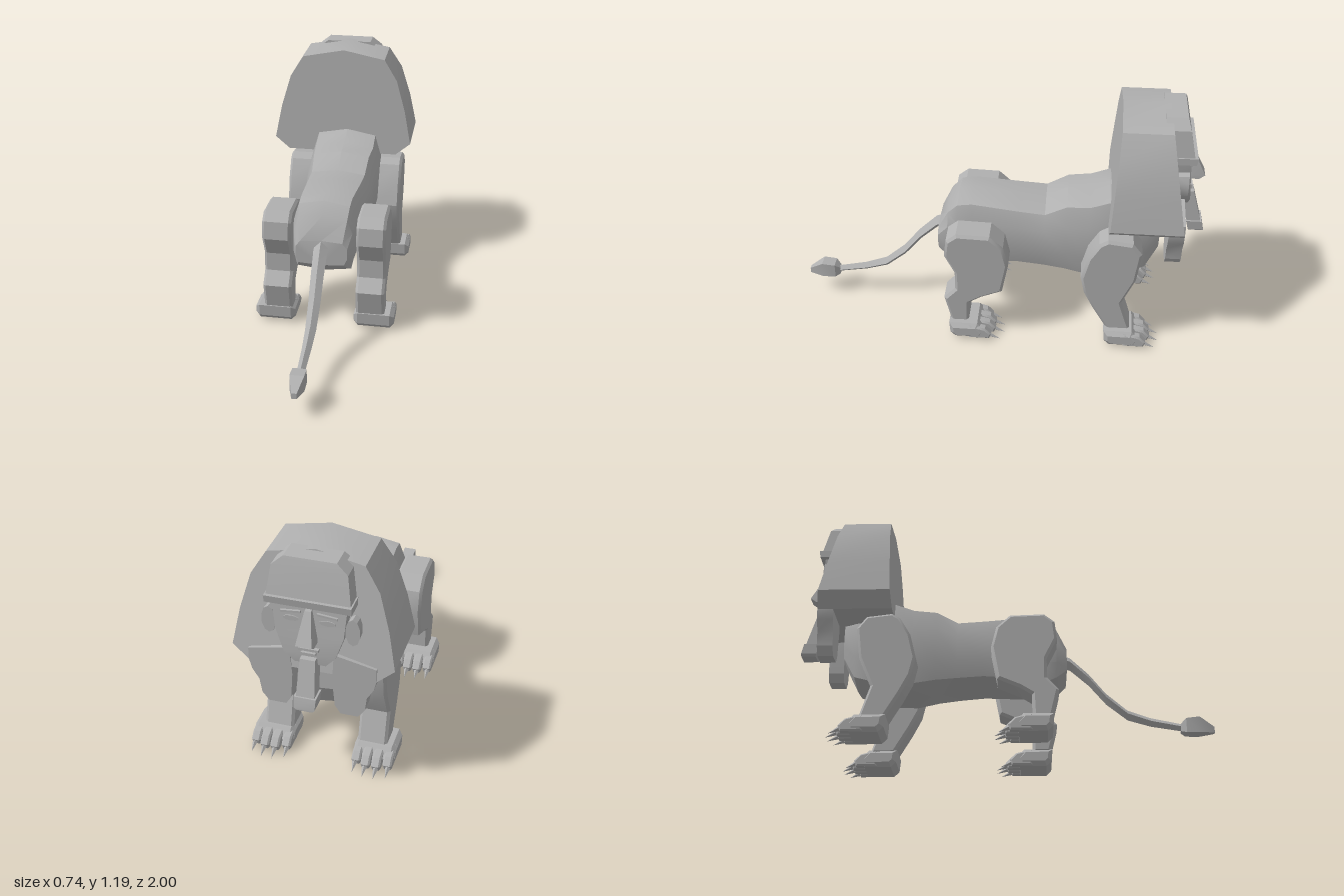
import * as THREE from 'three';
import { toCreasedNormals } from 'three/addons/utils/BufferGeometryUtils.js';

const stone = new THREE.MeshStandardMaterial({ color: 0xb0b0b0 });
stone.name = 'grey stone';

function add(parent, name, geo, x = 0, y = 0, z = 0) {
  const mesh = new THREE.Mesh(toCreasedNormals(geo, 0.45), stone);
  mesh.name = name;
  mesh.position.set(x, y, z);
  parent.add(mesh);
  return mesh;
}

// Skin over convex rings of [x, y, z], counter-clockwise about the direction of travel
function loft(rings) {
  const pos = [], n = rings[0].length, last = rings.length - 1;
  const tri = (...p) => p.forEach((v) => pos.push(...v));
  for (let k = 0; k < last; k++) {
    for (let j = 0; j < n; j++) {
      const i = (j + 1) % n, a = rings[k], b = rings[k + 1];
      tri(a[j], a[i], b[i]);
      tri(a[j], b[i], b[j]);
    }
  }
  for (let j = 1; j < n - 1; j++) {
    tri(rings[0][0], rings[0][j + 1], rings[0][j]);
    tri(rings[last][0], rings[last][j], rings[last][j + 1]);
  }
  const g = new THREE.BufferGeometry();
  g.setAttribute('position', new THREE.Float32BufferAttribute(pos, 3));
  g.computeVertexNormals();
  return g;
}

const shapeOf = (pts) => new THREE.Shape(pts.map((p) => new THREE.Vector2(...p)));

// Side profile of [forward, height], given a width and chamfered edges
function sideSlab(pts, width, bevel) {
  const g = new THREE.ExtrudeGeometry(shapeOf(pts), {
    depth: width - 2 * bevel, bevelEnabled: true, bevelSegments: 1,
    bevelSize: bevel, bevelThickness: bevel, bevelOffset: -bevel,
  });
  g.translate(0, 0, bevel - width / 2);
  return g.rotateY(Math.PI / 2);
}

// Upright block with rows of [y, halfWidth, backZ, frontZ], bottom first
const block = (rows) => loft(rows.map(([y, w, zb, zf]) =>
  [[w, y, zb], [w, y, zf], [-w, y, zf], [-w, y, zb]]));

function makeFoot() {
  const foot = new THREE.Group();
  add(foot, 'pad', sideSlab([[0, 0.095], [0.005, 0.035], [0.03, 0.01], [0.16, 0.01], [0.18, 0.05], [0.14, 0.095]], 0.2, 0.02));
  for (let i = 0; i < 4; i++) {
    const x = (i - 1.5) * 0.05, reach = Math.abs(i - 1.5) > 1 ? -0.02 : 0;
    add(foot, 'toe', sideSlab([[0.12, 0.012], [0.22, 0.012], [0.23, 0.04], [0.2, 0.072], [0.17, 0.08], [0.12, 0.088]], 0.044, 0.008), x, 0, -reach);
    const claw = new THREE.ConeGeometry(0.017, 0.075, 4);
    claw.rotateX(-Math.PI / 2 - 0.42);
    add(foot, 'claw', claw, x * 1.06, 0.02, -0.24 - reach);
  }
  return foot;
}

function makeBody() {
  const body = new THREE.Group();
  body.name = 'body';
  // Torso sections from chest to rump: z, top, bottom, half width
  const sections = [
    [-0.78, 0.68, 0.46, 0.13], [-0.72, 0.74, 0.34, 0.155], [-0.64, 0.76, 0.31, 0.175],
    [-0.53, 0.765, 0.292, 0.185], [-0.44, 0.73, 0.292, 0.185], [-0.33, 0.72, 0.315, 0.175],
    [-0.225, 0.66, 0.33, 0.167], [-0.1, 0.67, 0.34, 0.163], [0.13, 0.695, 0.325, 0.152],
    [0.2, 0.685, 0.31, 0.15], [0.25, 0.63, 0.34, 0.143], [0.3, 0.52, 0.39, 0.125],
  ];
  add(body, 'torso', loft(sections.map(([z, top, bot, w]) => {
    const h = top - bot;
    const half = [[0.88, 0.05], [1, 0.3], [1, 0.7], [0.82, 0.94]].map(([a, b]) => [a * w, bot + b * h, z]);
    return [[0, bot, z], ...half, [0, top, z], ...half.reverse().map(([x, y]) => [-x, y, z])];
  })));

  const foreleg = [[0.41, 0.39], [0.43, 0.3], [0.475, 0.21], [0.55, 0.08], [0.668, 0.08], [0.615, 0.25],
    [0.675, 0.39], [0.695, 0.545], [0.65, 0.605], [0.53, 0.62], [0.49, 0.595], [0.44, 0.51]];
  const hindLeg = [[-0.22, 0.08], [-0.135, 0.08], [-0.13, 0.2], [-0.075, 0.235], [0.03, 0.28], [0.06, 0.44],
    [0.035, 0.545], [-0.03, 0.605], [-0.19, 0.61], [-0.24, 0.57], [-0.25, 0.48], [-0.2, 0.38], [-0.2, 0.285], [-0.255, 0.225]];
  for (const [side, s] of [['left', 1], ['right', -1]]) {
    for (const [kind, profile, heel] of [['Foreleg', foreleg, -0.535], ['HindLeg', hindLeg, 0.23]]) {
      add(body, side + kind, sideSlab(profile, 0.142, 0.013), s * 0.23);
      const foot = makeFoot();
      foot.name = side + kind + 'Foot';
      foot.position.set(s * 0.248, 0, heel);
      body.add(foot);
    }
  }

  // Tail: square rings along the curve, ending in a tuft; z, y, half size
  const diamond = ([z, y, w, h = w]) => [[w, y, z], [0, y + h, z], [-w, y, z], [0, y - h, z]];
  add(body, 'tail', loft([[0.25, 0.5, 0.036], [0.32, 0.475, 0.034], [0.41, 0.39, 0.031], [0.49, 0.29, 0.029],
    [0.59, 0.205, 0.026], [0.7, 0.168, 0.022], [0.86, 0.137, 0.018]].map(diamond)));
  const square = ([z, y, w, h]) => [[w, y - h, z], [w, y + h, z], [-w, y + h, z], [-w, y - h, z]];
  add(body, 'tailTuft', loft([[0.84, 0.135, 0.016, 0.018], [0.865, 0.142, 0.032, 0.036],
    [0.93, 0.145, 0.033, 0.04], [1.0, 0.125, 0.012, 0.014]].map(square)));
  return body;
}

function makeHead() {
  const head = new THREE.Group();
  head.name = 'head';
  // Headdress: broad slab, deeper towards the bottom
  const half = [[0.215, 1.148], [0.282, 1.04], [0.33, 0.874], [0.364, 0.7], [0.288, 0.637]];
  const outline = [[0, 1.19], ...half, ...half.slice().reverse().map(([x, y]) => [-x, y])];
  const cloth = new THREE.ExtrudeGeometry(shapeOf(outline), { depth: 1, bevelEnabled: false });
  const p = cloth.attributes.position;
  for (let i = 0; i < p.count; i++) {
    const drop = 1.19 - p.getY(i);
    p.setZ(i, p.getZ(i) > 0.5 ? -0.567 + drop * 0.067 : -0.79 - drop * 0.17);
  }
  cloth.computeVertexNormals();
  add(head, 'headdress', cloth);

  // Forehead cloth, band and tapering face
  add(head, 'foreheadCloth', block([[1.0, 0.185, -0.76, -0.905], [1.14, 0.165, -0.76, -0.875], [1.182, 0.115, -0.76, -0.862]]));
  add(head, 'headband', block([[0.975, 0.19, -0.78, -0.912], [1.01, 0.19, -0.78, -0.918]]));
  add(head, 'face', block([[0.69, 0.07, -0.75, -0.905], [0.74, 0.115, -0.75, -0.91], [0.84, 0.15, -0.75, -0.9], [0.98, 0.165, -0.75, -0.89]]));
  add(head, 'nose', block([[0.805, 0.036, -0.88, -0.95], [0.825, 0.036, -0.88, -0.978], [0.96, 0.014, -0.87, -0.91]]));
  add(head, 'upperLip', new THREE.BoxGeometry(0.09, 0.012, 0.03), 0, 0.772, -0.908);
  add(head, 'lowerLip', new THREE.BoxGeometry(0.065, 0.012, 0.03), 0, 0.752, -0.91);

  // Plaited beard with a cuff at the tip
  add(head, 'beard', block([[0.55, 0.042, -0.92, -0.985], [0.73, 0.034, -0.86, -0.935]]));
  add(head, 'beardTip', block([[0.505, 0.036, -0.93, -1.0], [0.515, 0.047, -0.925, -1.0], [0.565, 0.05, -0.912, -0.988]]));

  for (const [side, s] of [['left', 1], ['right', -1]]) {
    // Lappets hanging in front of the shoulders
    const pts = [[0.288, 0.7], [0.288, 0.64], [0.275, 0.59], [0.245, 0.54], [0.235, 0.47], [0.205, 0.43],
      [0.125, 0.43], [0.1, 0.47], [0.09, 0.6], [0.1, 0.74]].map(([x, y]) => [s * x, y]);
    add(head, side + 'Lappet', new THREE.ExtrudeGeometry(shapeOf(pts), { depth: 0.075, bevelEnabled: false }), 0, 0, -0.885);

    const ear = new THREE.CylinderGeometry(0.05, 0.055, 0.06, 10);
    ear.rotateX(Math.PI / 2).scale(0.6, 1.2, 1);
    add(head, side + 'Ear', ear, s * 0.185, 0.87, -0.855);

    // Eye between lids, with a slanting brow
    const eye = new THREE.CylinderGeometry(0.036, 0.036, 0.02, 10);
    eye.rotateX(Math.PI / 2).scale(1, 0.36, 1);
    add(head, side + 'Eye', eye, s * 0.08, 0.905, -0.889);
    add(head, side + 'Brow', new THREE.BoxGeometry(0.09, 0.01, 0.03), s * 0.08, 0.94, -0.888).rotation.z = -s * 0.1;
  }
  return head;
}

export function createModel() {
  const model = new THREE.Group();
  model.name = 'sphinx';
  const body = makeBody();
  body.position.x = 0.02;
  const head = makeHead();
  head.position.x = -0.006;
  model.add(body, head);
  return model;
}
